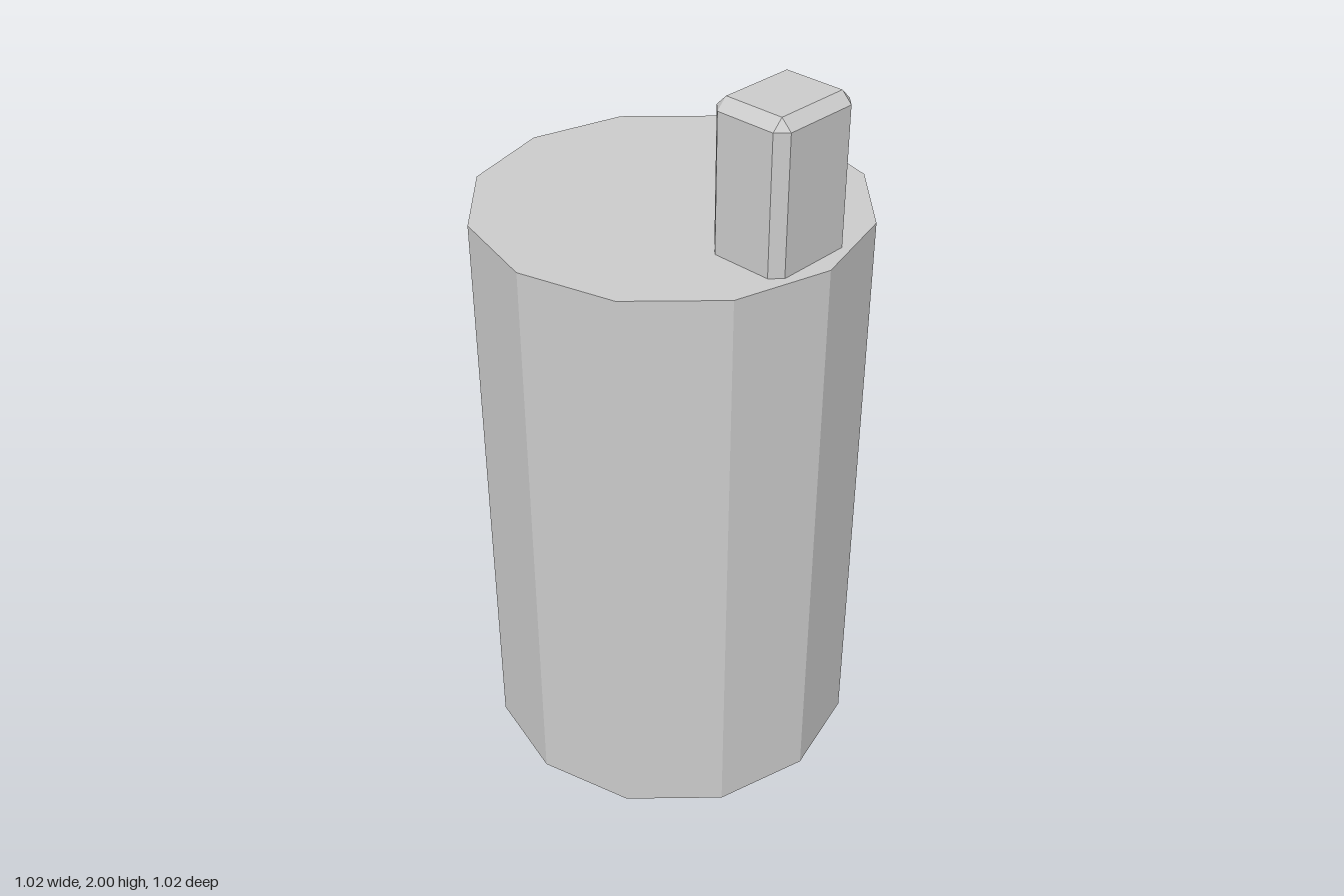
import * as THREE from 'three';
import { ConvexGeometry } from 'three/addons/geometries/ConvexGeometry.js';

// Box with chamfered upright and top edges, standing on y = 0
function chamferedBlock(width, height, depth, c) {
  const points = [];
  for (const sx of [-1, 1]) {
    for (const sz of [-1, 1]) {
      const x = width / 2, z = depth / 2;
      for (const y of [0, height - c]) {
        points.push(new THREE.Vector3(sx * x, y, sz * (z - c)));
        points.push(new THREE.Vector3(sx * (x - c), y, sz * z));
      }
      points.push(new THREE.Vector3(sx * (x - c), height, sz * (z - c)));
    }
  }
  return new ConvexGeometry(points);
}

export function createModel() {
  const group = new THREE.Group();
  const material = new THREE.MeshStandardMaterial({ color: 0xcccccc, flatShading: true });

  // Twelve-sided drum
  const bodyHeight = 1.61;
  const body = new THREE.Mesh(new THREE.CylinderGeometry(0.512, 0.512, bodyHeight, 12), material);
  body.name = 'body';
  body.position.y = bodyHeight / 2;
  group.add(body);

  // Off-centre peg on the top, sunk slightly into the drum
  const sink = 0.01;
  const peg = new THREE.Mesh(chamferedBlock(0.22, 2 - bodyHeight + sink, 0.262, 0.028), material);
  peg.name = 'peg';
  peg.position.set(0.351, bodyHeight - sink, 0);
  group.add(peg);

  return group;
}
